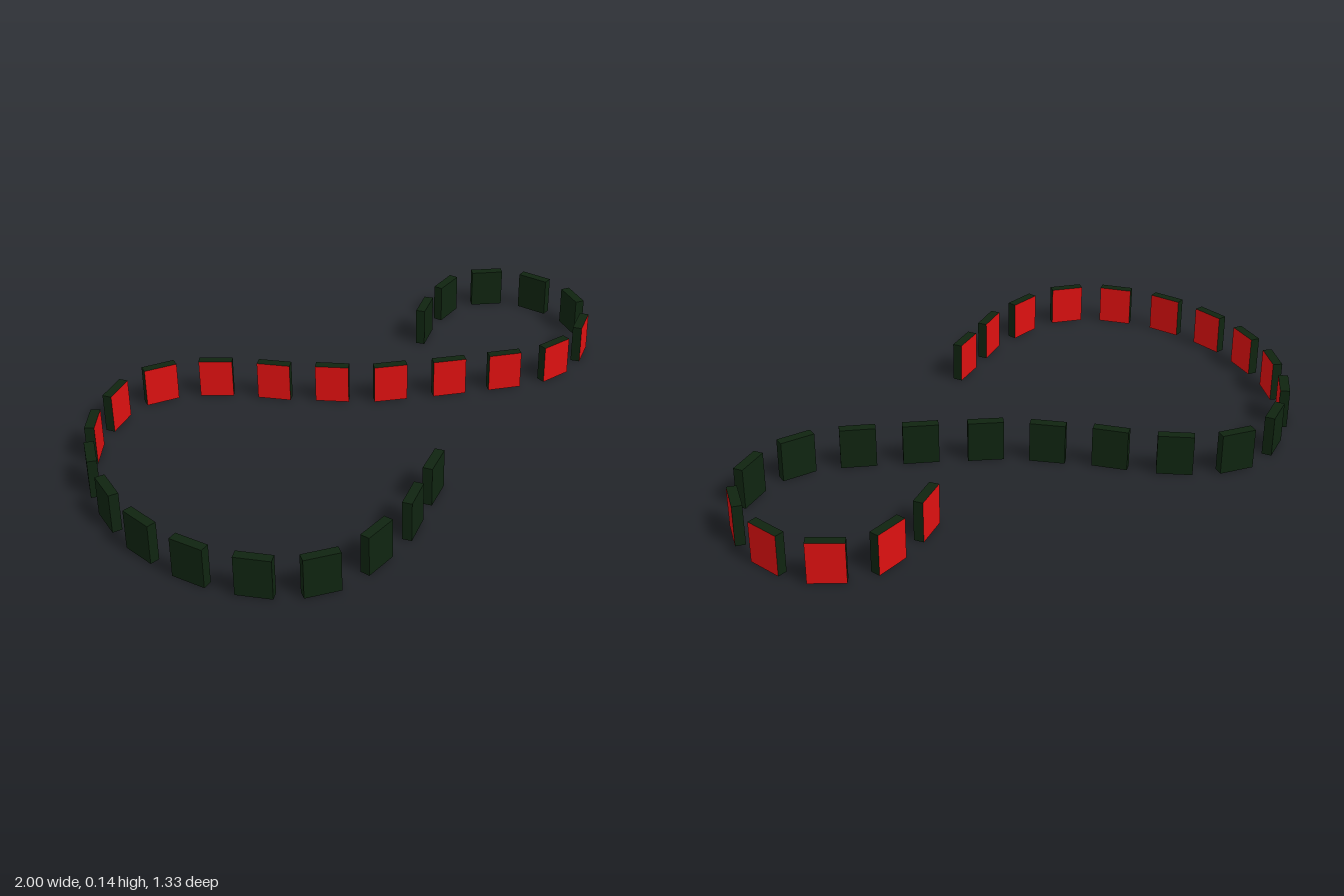
import * as THREE from 'three';

const LENGTH = 0.115, HEIGHT = 0.135, THICKNESS = 0.032;

// Standing tiles along an S-shaped trail: x, z, heading in degrees
const TRAIL = [
  [-0.055, 0.385, 219], [-0.205, 0.51, 221], [-0.385, 0.605, 203], [-0.585, 0.635, 169],
  [-0.755, 0.55, 139], [-0.885, 0.395, 120], [-0.96, 0.21, 106], [-0.984, 0.01, 90],
  [-0.96, -0.19, 74], [-0.885, -0.37, 59], [-0.75, -0.515, 40], [-0.565, -0.58, -4],
  [-0.38, -0.52, -30], [-0.215, -0.40, -40], [-0.05, -0.285, -35], [0.125, -0.19, -19],
  [0.32, -0.12, -18], [0.51, -0.06, -17], [0.705, -0.035, 8], [0.88, -0.115, 41],
  [0.975, -0.295, 82], [0.94, -0.49, 115], [0.81, -0.625, 156], [0.625, -0.625, 207],
  [0.46, -0.51, 223],
];

export function createModel() {
  const group = new THREE.Group();
  group.name = 'tileTrail';

  const green = new THREE.MeshStandardMaterial({ color: 0x0f2410 });
  const red = new THREE.MeshStandardMaterial({ color: 0xdd1010 });

  // Dark tile with one red broad face (local +z)
  const geometry = new THREE.BoxGeometry(LENGTH, HEIGHT, THICKNESS);
  const materials = [green, green, green, green, red, green];

  TRAIL.forEach(([x, z, heading], i) => {
    const tile = new THREE.Mesh(geometry, materials);
    tile.name = `tile${i + 1}`;
    tile.position.set(x, HEIGHT / 2, z);
    tile.rotation.y = THREE.MathUtils.degToRad(heading);
    group.add(tile);
  });
  return group;
}
